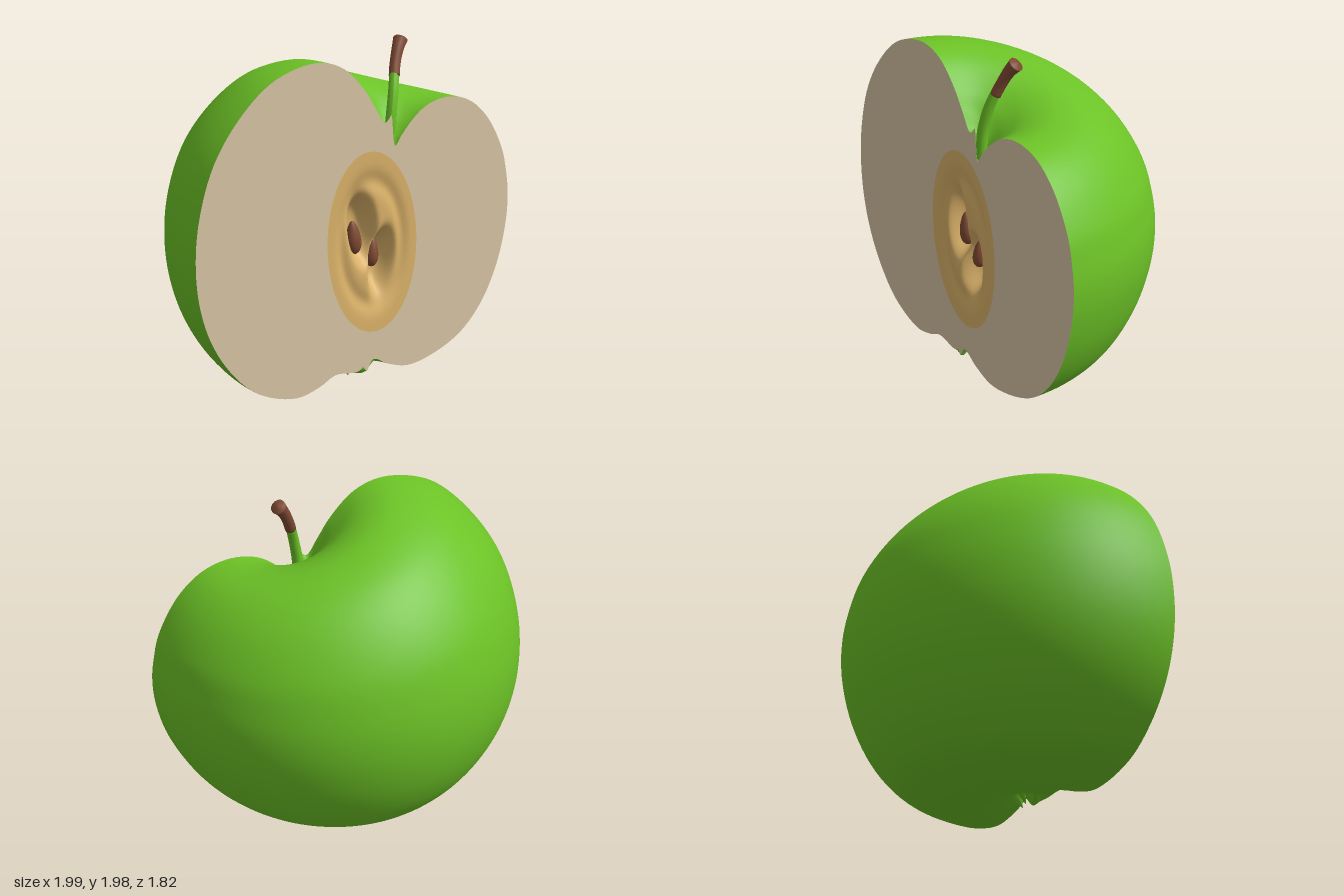
import * as THREE from 'three';

const paint = (name, color) => {
  const m = new THREE.MeshStandardMaterial({ color });
  m.name = name;
  return m;
};

const curve = (pts) => new THREE.CatmullRomCurve3(pts.map(([x, y, z = 0]) => new THREE.Vector3(x, y, z)));

// Outlines of the two halves of the cut, from the stem pit down to the bottom dent
const tallSide = curve([[0.195, 1.57], [0.148, 1.53], [0.073, 1.63], [0.004, 1.73], [-0.146, 1.87], [-0.323, 1.92],
  [-0.589, 1.86], [-0.794, 1.71], [-0.978, 1.47], [-1.08, 1.18], [-1.108, 0.925], [-1.087, 0.695], [-1.019, 0.48],
  [-0.896, 0.28], [-0.726, 0.12], [-0.473, 0.03], [-0.316, 0.055], [-0.2, 0.1], [-0.044, 0.08], [0, 0.1]]);
const lowSide = curve([[0.195, 1.57], [0.223, 1.385], [0.26, 1.433], [0.345, 1.52], [0.45, 1.59], [0.605, 1.62],
  [0.775, 1.578], [0.925, 1.455], [1.05, 1.246], [1.09, 1.1], [1.11, 0.963], [1.1, 0.775], [1.03, 0.51],
  [0.898, 0.278], [0.707, 0.118], [0.366, 0.027], [0.195, 0.07], [0.072, 0.13], [0.025, 0.07], [0, 0.1]]);

const ROWS = 114;
const CORE = { x: 0.066, y: 0.84, rx: 0.32, ry: 0.54, tilt: 0.08 };

// Skin: half turn that blends from the low outline to the tall one
function skinGeometry() {
  const geo = new THREE.PlaneGeometry(1, 1, 72, ROWS);
  const pos = geo.attributes.position, uv = geo.attributes.uv;
  for (let i = 0; i < pos.count; i++) {
    const t = 1 - uv.getY(i), phi = Math.PI * uv.getX(i);
    const a = lowSide.getPoint(t), b = tallSide.getPoint(t);
    const c = Math.cos(phi), s = Math.sin(phi);
    const half = (a.x - b.x) / 2;
    let y = (a.y + b.y) / 2 + c * (a.y - b.y) / 2;
    y -= 0.027 * s * Math.max(0, 1 - y / 0.5);
    pos.setXYZ(i, (a.x + b.x) / 2 + c * half, y, -half * s * 1.03);
  }
  geo.computeVertexNormals();
  return geo;
}

// Flat cut flesh with an oval hole for the core
function fleshGeometry() {
  const down = lowSide.getPoints(ROWS), up = tallSide.getPoints(ROWS).reverse();
  const shape = new THREE.Shape([...down, ...up.slice(1, -1)].map((p) => new THREE.Vector2(p.x, p.y)));
  const hole = new THREE.Path();
  hole.absellipse(CORE.x, CORE.y, CORE.rx, CORE.ry, 0, Math.PI * 2, true, CORE.tilt);
  shape.holes.push(hole);
  return new THREE.ShapeGeometry(shape, 48);
}

// Seed hollows: centre, half width, half height, tilt, depth
const hollows = [
  [0.0, 0.93, 0.085, 0.19, 0.12, 0.13],
  [0.14, 0.71, 0.08, 0.18, -0.12, 0.13],
];

// Core: oval disc with a shallow groove and two hollows
function coreGeometry() {
  const geo = new THREE.RingGeometry(0, 1, 96, 48);
  const pos = geo.attributes.position;
  const ct = Math.cos(CORE.tilt), st = Math.sin(CORE.tilt);
  for (let i = 0; i < pos.count; i++) {
    const px = pos.getX(i), py = pos.getY(i), rho = Math.hypot(px, py);
    const ex = px * CORE.rx, ey = py * CORE.ry;
    const x = CORE.x + ex * ct - ey * st, y = CORE.y + ex * st + ey * ct;
    let z = -0.018 * Math.exp(-(((rho - 0.68) / 0.11) ** 2));
    let dip = 0;
    for (const [hx, hy, w, h, tilt, depth] of hollows) {
      const c = Math.cos(tilt), s = Math.sin(tilt), dx = x - hx, dy = y - hy;
      const q = ((dx * c + dy * s) / w) ** 2 + ((dy * c - dx * s) / h) ** 2;
      dip = Math.max(dip, depth * Math.exp(-q * q));
    }
    z = rho > 0.999 ? 0 : z - dip;
    pos.setXYZ(i, x, y, z);
  }
  geo.computeVertexNormals();
  return geo;
}

// Tube whose radius follows a rule along its length
function taperedTube(path, radius) {
  const geo = new THREE.TubeGeometry(path, 24, 1, 14);
  const pos = geo.attributes.position, nor = geo.attributes.normal, uv = geo.attributes.uv;
  for (let i = 0; i < pos.count; i++) {
    const k = radius(uv.getX(i)) - 1;
    pos.setXYZ(i, pos.getX(i) + nor.getX(i) * k, pos.getY(i) + nor.getY(i) * k, pos.getZ(i) + nor.getZ(i) * k);
  }
  geo.computeVertexNormals();
  return geo;
}

export function createModel() {
  const green = paint('green skin', 0x6cc226);
  const cream = paint('cream flesh', 0xd8c5a4);
  const tan = paint('tan core', 0xdcb36a);
  const seedBrown = paint('seed brown', 0x804a32);
  const stemBrown = paint('stem brown', 0x7f4a33);

  const model = new THREE.Group();
  model.name = 'halfApple';
  const add = (parent, name, geo, mat) => {
    const mesh = new THREE.Mesh(geo, mat);
    mesh.name = name;
    parent.add(mesh);
    return mesh;
  };

  // Body is built with its cut on local z = 0, then turned
  const body = new THREE.Group();
  body.name = 'body';
  body.position.set(0.125, 0, 0.225);
  body.rotation.y = 0.67;
  model.add(body);
  add(body, 'skin', skinGeometry(), green);
  add(body, 'cutFlesh', fleshGeometry(), cream);
  add(body, 'core', coreGeometry(), tan);

  // Seeds: teardrops lying in the hollows
  for (const [x, y, w, h, tilt] of [[-0.014, 0.87, 0.045, 0.1, 0.1], [0.12, 0.76, 0.038, 0.088, -0.08]]) {
    const geo = new THREE.SphereGeometry(1, 24, 18);
    const pos = geo.attributes.position;
    for (let i = 0; i < pos.count; i++) {
      const k = 1 - 0.3 * pos.getY(i);
      pos.setX(i, pos.getX(i) * k);
      pos.setZ(i, pos.getZ(i) * k);
    }
    geo.scale(w, h, 0.04);
    geo.computeVertexNormals();
    const seed = add(body, 'seed', geo, seedBrown);
    seed.position.set(x, y, -0.08);
    seed.rotation.z = tilt;
  }

  // Withered sepals in the bottom dent
  for (let i = 0; i < 5; i++) {
    const a = Math.PI * (i + 0.5) / 5;
    const sepal = add(body, 'sepal', new THREE.ConeGeometry(0.035, 0.09, 6), green);
    sepal.position.set(0.09 * Math.cos(a), 0.085, -0.04 - 0.07 * Math.sin(a));
    sepal.rotation.set(Math.PI - 0.4 * Math.sin(a), 0, 0.5 * Math.cos(a));
  }

  // Stem: green foot rising from the pit, brown flared top
  add(model, 'stemFoot', taperedTube(curve([[0.265, 1.38, 0.07], [0.275, 1.55, 0.06], [0.285, 1.68, 0.03], [0.29, 1.78, -0.01]]),
    (t) => 0.034 - 0.006 * t), green);
  add(model, 'stem', taperedTube(curve([[0.29, 1.76, -0.005], [0.295, 1.83, -0.04], [0.31, 1.91, -0.085], [0.328, 1.965, -0.13]]),
    (t) => (t === 0 || t === 1 ? 0 : 0.031 + 0.014 * t ** 4)), stemBrown);

  return model;
}
